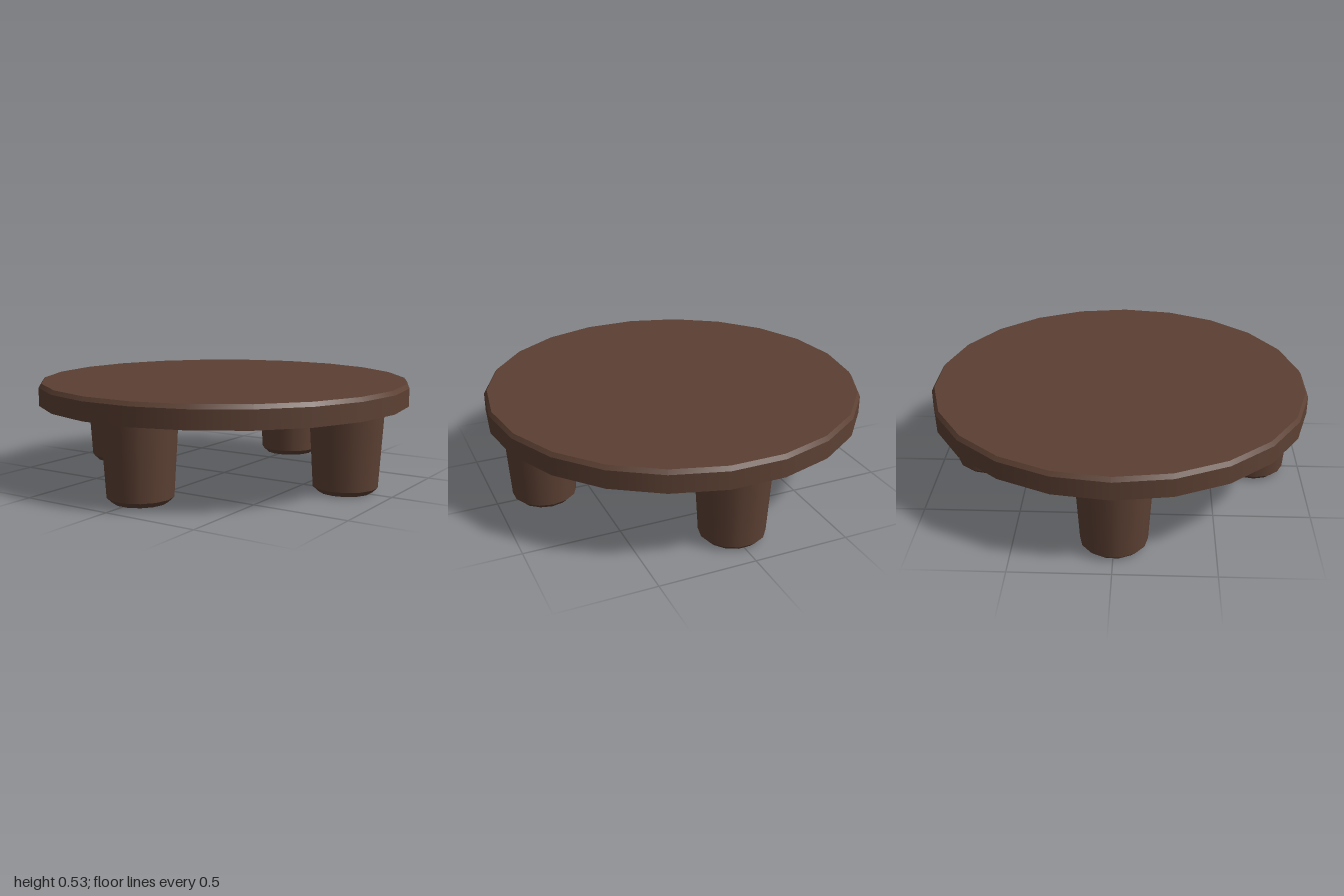
import * as THREE from 'three';
import { mergeGeometries } from 'three/addons/utils/BufferGeometryUtils.js';

// Round solid from [radius, y] rings, bottom to top: smooth around, crisp between bands.
function turned(rings, sides, startAngle) {
  const parts = [];
  for (let i = 0; i < rings.length - 1; i++) {
    const [r0, y0] = rings[i];
    const [r1, y1] = rings[i + 1];
    const band = new THREE.CylinderGeometry(r1, r0, y1 - y0, sides, 1, true, startAngle);
    parts.push(band.translate(0, (y0 + y1) / 2, 0));
  }
  const cap = ([r, y], up) => new THREE.CircleGeometry(r, sides, up ? startAngle - Math.PI / 2 : Math.PI / 2 - startAngle)
    .rotateX(up ? -Math.PI / 2 : Math.PI / 2).translate(0, y, 0);
  parts.push(cap(rings[0], false), cap(rings[rings.length - 1], true));
  return mergeGeometries(parts);
}

export function createModel() {
  const model = new THREE.Group();
  model.name = 'roundTable';
  const wood = new THREE.MeshStandardMaterial({ color: 0x5c4033 });
  wood.name = 'dark brown wood';

  // Round top with a small bevel on its upper rim
  const topGeometry = turned([[1, 0.417], [1, 0.512], [0.985, 0.533]], 22, Math.PI / 2);
  const tableTop = new THREE.Mesh(topGeometry, wood);
  tableTop.name = 'tableTop';
  model.add(tableTop);

  // Four stubby tapered legs with bevelled feet, turned to face outwards
  const legGeometry = turned([[0.138, 0], [0.168, 0.028], [0.192, 0.417]], 14, Math.PI / 2);
  for (let i = 0; i < 4; i++) {
    const angle = i * Math.PI / 2;
    const leg = new THREE.Mesh(legGeometry, wood);
    leg.name = 'leg' + (i + 1);
    leg.position.set(0.742 * Math.sin(angle), 0, 0.742 * Math.cos(angle));
    leg.rotation.y = angle;
    model.add(leg);
  }
  return model;
}
